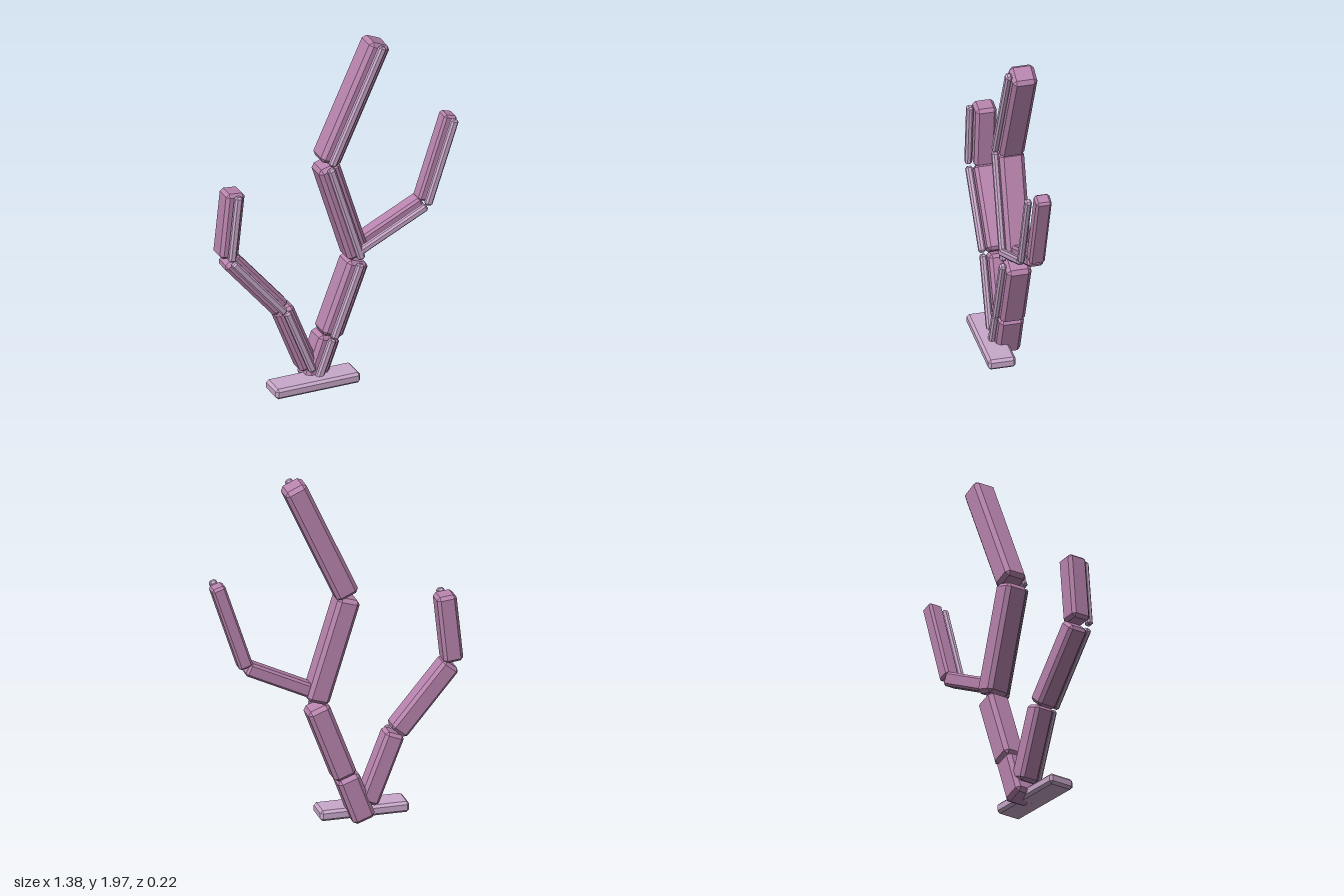
import * as THREE from 'three';
import { ConvexGeometry } from 'three/addons/geometries/ConvexGeometry.js';

// Box with all edges and corners cut by a flat chamfer
function chamferBox(w, h, d, c) {
  const points = [];
  for (const sx of [-1, 1]) for (const sy of [-1, 1]) for (const sz of [-1, 1]) {
    const x = w / 2, y = h / 2, z = d / 2;
    points.push(
      new THREE.Vector3(sx * x, sy * (y - c), sz * (z - c)),
      new THREE.Vector3(sx * (x - c), sy * y, sz * (z - c)),
      new THREE.Vector3(sx * (x - c), sy * (y - c), sz * z)
    );
  }
  return new ConvexGeometry(points);
}

export function createModel() {
  const model = new THREE.Group();
  model.name = 'branchingCoral';
  const mauve = new THREE.MeshStandardMaterial({ name: 'mauve', color: 0xb884ae });
  const lilac = new THREE.MeshStandardMaterial({ name: 'paleLilac', color: 0xc9a8cb });

  // Chamfered bar in the xy plane between two points
  function bar(name, [x0, y0, x1, y1], width, depth, z, chamfer, material) {
    const length = Math.hypot(x1 - x0, y1 - y0);
    const mesh = new THREE.Mesh(chamferBox(width, length, depth, chamfer), material);
    mesh.name = name;
    mesh.position.set((x0 + x1) / 2, (y0 + y1) / 2, z);
    mesh.rotation.z = -Math.atan2(x1 - x0, y1 - y0);
    return mesh;
  }

  // Each limb is a chain of segments: x, y at the start, x, y at the end
  const limbs = [
    { name: 'trunk', width: 0.127, depth: 0.135, segments: [
      [-0.15, 0.03, -0.055, 0.288], [-0.047, 0.285, 0.11, 0.70],
      [0.113, 0.73, -0.065, 1.305], [-0.06, 1.32, 0.238, 1.972]] },
    { name: 'rightBranch', width: 0.108, depth: 0.115, segments: [
      [-0.17, 0.12, -0.32, 0.503], [-0.332, 0.506, -0.63, 0.862],
      [-0.64, 0.877, -0.60, 1.257]] },
    { name: 'leftBranch', width: 0.077, depth: 0.085, segments: [
      [0.09, 0.77, 0.49, 0.962], [0.497, 0.968, 0.655, 1.445]] }
  ];
  for (const { name, width, depth, segments } of limbs) {
    const limb = new THREE.Group();
    limb.name = name;
    segments.forEach((s, i) => {
      limb.add(bar(`${name}Segment${i + 1}`, s, width, depth, -0.043, width * 0.16, mauve));
      // Pale rib standing just in front of the segment
      limb.add(bar(`${name}Rib${i + 1}`, s, 0.042, 0.036, 0.037, 0.01, lilac));
    });
    model.add(limb);
  }

  // Flat foot across the front of the trunk
  const foot = new THREE.Mesh(chamferBox(0.49, 0.06, 0.15, 0.014), lilac);
  foot.name = 'foot';
  foot.position.set(-0.165, 0.057, 0.031);
  model.add(foot);

  return model;
}
